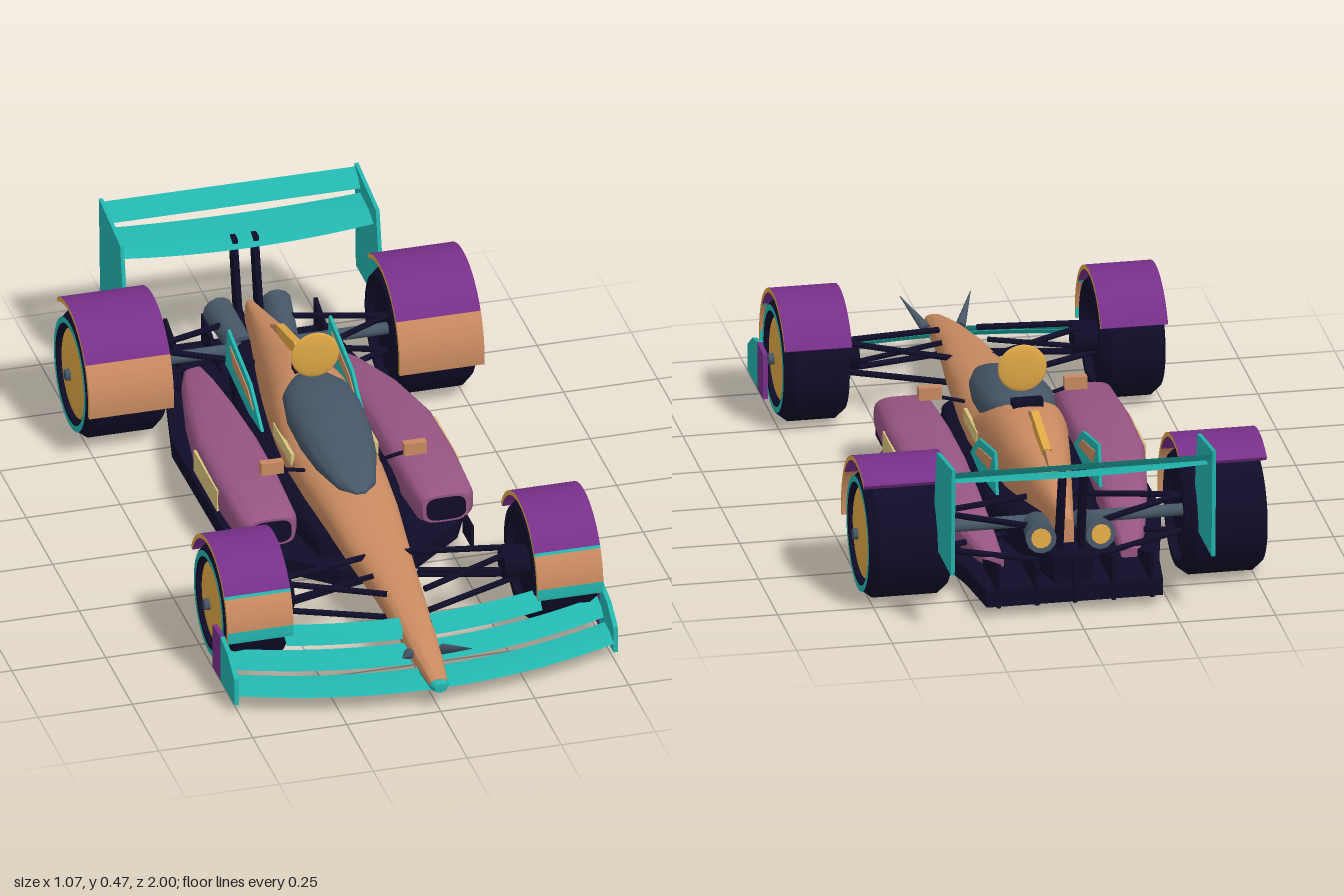
import * as THREE from 'three';
import { toCreasedNormals } from 'three/addons/utils/BufferGeometryUtils.js';

const mat = (name, color) => {
  const m = new THREE.MeshStandardMaterial({ color });
  m.name = name;
  return m;
};

// Closed skin through rings of [x, y, z] points, capped at both ends
function skin(rings, crease = 0.7) {
  const n = rings[0].length, pos = [], idx = [];
  rings.forEach(r => r.forEach(p => pos.push(...p)));
  for (let i = 0; i < rings.length - 1; i++) for (let j = 0; j < n; j++) {
    const a = i * n + j, b = i * n + (j + 1) % n;
    idx.push(a, a + n, b, b, a + n, b + n);
  }
  [0, rings.length - 1].forEach((i, end) => {
    const c = pos.length / 3;
    pos.push(...[0, 1, 2].map(k => rings[i].reduce((s, p) => s + p[k], 0) / n));
    for (let j = 0; j < n; j++) {
      const a = i * n + j, b = i * n + (j + 1) % n;
      if (end) idx.push(c, b, a); else idx.push(c, a, b);
    }
  });
  const g = new THREE.BufferGeometry();
  g.setAttribute('position', new THREE.Float32BufferAttribute(pos, 3));
  g.setIndex(idx);
  return toCreasedNormals(g, crease);
}

// Superellipse loft, sections front to back: [z, halfWidth, yBottom, yTop, xCentre]
function loft(sections, power = 2.5, n = 32) {
  const f = v => Math.sign(v) * Math.abs(v) ** (2 / power);
  return skin(sections.map(([z, w, y0, y1, xc = 0]) => Array.from({ length: n }, (_, j) => {
    const a = j / n * Math.PI * 2;
    return [xc + w * f(Math.cos(a)), (y0 + y1) / 2 + (y1 - y0) / 2 * f(Math.sin(a)), z];
  })));
}

// Wing blade across x; at(x) gives [zLead, yLead, zTrail, yTrail]
function blade(x0, x1, at, t = 0.006, n = 16) {
  return skin(Array.from({ length: n + 1 }, (_, i) => {
    const x = x1 + (x0 - x1) * i / n, [zl, yl, zt, yt] = at(x);
    const zm = zl * 0.6 + zt * 0.4, ym = yl * 0.6 + yt * 0.4;
    return [[x, yt, zt], [x, ym + t, zm], [x, yl, zl], [x, ym - t, zm]];
  }), 0.5);
}

// Flat plate drawn in [z, y], thickness along x
function plate(pts, t) {
  const s = pts instanceof THREE.Shape ? pts : new THREE.Shape(pts.map(p => new THREE.Vector2(...p)));
  return new THREE.ExtrudeGeometry(s, { depth: t, bevelEnabled: false, curveSegments: 32 })
    .translate(0, 0, -t / 2).rotateY(-Math.PI / 2);
}

export function createModel() {
  const car = new THREE.Group();
  car.name = 'raceCar';
  const teal = mat('teal', 0x22b5ae), purple = mat('purple', 0x772f89), tan = mat('tan', 0xc98a60);
  const gold = mat('gold', 0xdfa845), navy = mat('navy', 0x0f0c28), slate = mat('slate', 0x465666);
  const mauve = mat('mauve', 0x965482), pale = mat('pale yellow', 0xd8c57c);

  const add = (name, geo, m, x = 0, y = 0, z = 0, parent = car) => {
    const mesh = new THREE.Mesh(geo, m);
    mesh.name = name;
    mesh.position.set(x, y, z);
    parent.add(mesh);
    return mesh;
  };
  const box = (name, w, h, d, m, x, y, z) => add(name, new THREE.BoxGeometry(w, h, d), m, x, y, z);
  const rod = (name, a, b, r, m, r2 = r) => {
    const A = new THREE.Vector3(...a), B = new THREE.Vector3(...b), d = B.clone().sub(A);
    const mesh = add(name, new THREE.CylinderGeometry(r2, r, d.length(), 12), m);
    mesh.position.copy(A).add(B).multiplyScalar(0.5);
    mesh.quaternion.setFromUnitVectors(new THREE.Vector3(0, 1, 0), d.normalize());
  };

  // Nose, cockpit tub and engine cover
  add('body', loft([
    [0.985, 0.024, 0.055, 0.088], [0.9, 0.034, 0.062, 0.112], [0.8, 0.044, 0.07, 0.137],
    [0.6, 0.06, 0.085, 0.178], [0.4, 0.083, 0.095, 0.196], [0.25, 0.098, 0.1, 0.228],
    [0.1, 0.11, 0.1, 0.238], [-0.05, 0.118, 0.1, 0.255], [-0.18, 0.114, 0.1, 0.315],
    [-0.25, 0.108, 0.1, 0.328], [-0.4, 0.085, 0.1, 0.3], [-0.6, 0.05, 0.11, 0.262],
    [-0.8, 0.014, 0.14, 0.225]]), tan);
  add('noseTip', loft([[1, 0.016, 0.056, 0.08], [0.985, 0.0245, 0.053, 0.086], [0.9, 0.03, 0.058, 0.075]]), teal);
  add('canopy', loft([
    [0.25, 0.012, 0.215, 0.236], [0.21, 0.05, 0.21, 0.258], [0.1, 0.083, 0.2, 0.3], [0, 0.097, 0.2, 0.325],
    [-0.1, 0.1, 0.21, 0.338], [-0.18, 0.088, 0.235, 0.338], [-0.23, 0.055, 0.26, 0.328], [-0.25, 0.02, 0.28, 0.315]
  ], 2.2), slate);
  box('cameraPod', 0.08, 0.022, 0.03, navy, 0, 0.33, -0.25);
  const disc = add('roundPanel', new THREE.SphereGeometry(0.064, 32, 20), gold, 0, 0.4, -0.185);
  disc.scale.z = 0.14;
  add('sharkFin', plate([[-0.26, 0.31], [-0.35, 0.345], [-0.52, 0.305], [-0.62, 0.25], [-0.3, 0.25]], 0.012), tan);
  add('sharkFinPanel', plate([[-0.335, 0.34], [-0.35, 0.347], [-0.52, 0.307], [-0.5, 0.285], [-0.38, 0.305]], 0.02), gold);

  // Floor, chassis and diffuser
  const half = [[0.085, 0.36], [0.27, 0.2], [0.315, 0.1], [0.32, -0.4], [0.25, -0.72], [0.23, -0.88]];
  const outline = [...half, ...half.map(([x, z]) => [-x, z]).reverse()].map(p => new THREE.Vector2(...p));
  add('floor', new THREE.ExtrudeGeometry(new THREE.Shape(outline), { depth: 0.045, bevelEnabled: false })
    .rotateX(Math.PI / 2), navy, 0, 0.075);
  add('chassis', loft([[0.28, 0.12, 0.05, 0.14], [0, 0.165, 0.05, 0.16], [-0.4, 0.15, 0.05, 0.16],
    [-0.65, 0.1, 0.05, 0.19], [-0.86, 0.05, 0.06, 0.15]], 4), navy);
  for (let i = -2; i <= 2; i++)
    add('diffuserFin', plate([[-0.7, 0.03], [-0.7, 0.09], [-0.89, 0.15], [-0.89, 0.03]], 0.01), navy, i * 0.1);

  // Front wing blades: offset from the swept leading edge and heights
  const sweep = x => 0.965 - 0.1 * (x / 0.5) ** 2;
  [[0, 0.048, -0.085, 0.066, 0.5], [-0.095, 0.074, -0.155, 0.104, 0.5], [-0.165, 0.11, -0.215, 0.145, 0.34]]
    .forEach(([o1, y1, o2, y2, w], i) => {
      const at = x => [sweep(x) + o1, y1, sweep(x) + o2, y2];
      if (i === 0) add('frontWingMain', blade(-w, w, at, 0.007, 32), teal);
      else [[0.04, w], [-w, -0.04]].forEach(([a, b]) => add('frontWingFlap', blade(a, b, at), teal));
    });

  // Rear wing
  add('rearWingMain', blade(-0.34, 0.34, x => {
    const dip = 0.02 * (1 - (x / 0.34) ** 2);
    return [-0.82, 0.385 - dip, -0.945, 0.408 - dip / 2];
  }, 0.008), teal);
  add('rearWingFlap', blade(-0.34, 0.34, () => [-0.945, 0.42, -0.998, 0.456], 0.007), teal);

  // Fender arc in [z, y] degrees, split in colour bands with gold edges
  const fender = (bands, r, width, x, y, z) => bands.forEach(([a0, a1, m]) => {
    const s = new THREE.Shape(), k = Math.PI / 180;
    s.absarc(0, 0, r, a0 * k, a1 * k, false);
    s.absarc(0, 0, r - 0.012, a1 * k, a0 * k, true);
    add('fender', toCreasedNormals(plate(s, width), 0.5), [gold, m], x, y, z);
  });

  // Wheel with outer face on +x, turned round for the right side
  const wheel = (name, r, w, rim, x, z, s) => {
    const g = new THREE.Group(), h = w / 2;
    g.name = name;
    g.position.set(s * x, r, z);
    if (s < 0) g.rotation.y = Math.PI;
    car.add(g);
    const prof = [[0, -h + 0.02], [rim, -h + 0.02], [rim + 0.005, -h], [r - 0.02, -h], [r, -h + 0.025], [r, h - 0.025],
      [r - 0.02, h], [rim + 0.005, h], [rim, h - 0.015], [0, h - 0.015]].map(p => new THREE.Vector2(...p));
    add('tyre', toCreasedNormals(new THREE.LatheGeometry(prof, 40).rotateZ(-Math.PI / 2), 0.5), navy, 0, 0, 0, g);
    add('tyreStripe', new THREE.RingGeometry(rim + 0.01, rim + 0.026, 40).rotateY(Math.PI / 2), teal, h + 0.002, 0, 0, g);
    const dish = add('wheelCover', new THREE.SphereGeometry(rim - 0.004, 32, 16), gold, h - 0.014, 0, 0, g);
    dish.scale.x = 0.14;
    add('hubNut', new THREE.CylinderGeometry(0.014, 0.016, 0.02, 12).rotateZ(-Math.PI / 2), slate, h + 0.005, 0, 0, g);
  };

  for (const s of [1, -1]) {
    wheel('frontWheel', 0.163, 0.17, 0.114, 0.412, 0.58, s);
    wheel('rearWheel', 0.167, 0.215, 0.124, 0.412, -0.65, s);
    fender([[-6, 4, teal], [4, 32, tan], [32, 34.5, teal], [34.5, 153, purple]], 0.183, 0.175, s * 0.412, 0.162, 0.58);
    fender([[-7, 35, tan], [35, 122, purple]], 0.2, 0.225, s * 0.413, 0.168, -0.65);

    // Sidepods with intake and painted panels
    add('sidepod', loft([
      [0.228, 0.062, 0.1, 0.178, s * 0.232], [0.2, 0.077, 0.09, 0.19, s * 0.235], [0, 0.085, 0.08, 0.197, s * 0.235],
      [-0.2, 0.084, 0.08, 0.195, s * 0.233], [-0.4, 0.066, 0.075, 0.175, s * 0.218],
      [-0.6, 0.043, 0.07, 0.135, s * 0.195], [-0.72, 0.022, 0.07, 0.1, s * 0.175]], 3.6), mauve);
    add('sidepodIntake', loft([[0.231, 0.052, 0.107, 0.171, s * 0.232], [0.226, 0.052, 0.107, 0.171, s * 0.232]], 3.6), navy);
    box('sidepodPanel', 0.009, 0.06, 0.22, pale, s * 0.3175, 0.136, -0.08);
    box('cockpitPanel', 0.009, 0.035, 0.17, pale, s * 0.112, 0.208, -0.085);
    box('bargeBoard', 0.008, 0.06, 0.08, navy, s * 0.285, 0.08, 0.25);

    // Engine cover side fins
    add('sideFin', plate([[-0.2, 0.185], [-0.31, 0.265], [-0.52, 0.31], [-0.54, 0.2], [-0.32, 0.175]], 0.008), teal, s * 0.135);
    add('sideFinPanel', plate([[-0.27, 0.212], [-0.32, 0.245], [-0.49, 0.28], [-0.46, 0.237]], 0.014), tan, s * 0.135);

    // Mirrors
    rod('mirrorStalk', [s * 0.1, 0.215, 0.07], [s * 0.18, 0.235, 0.075], 0.005, navy);
    box('mirror', 0.06, 0.034, 0.022, tan, s * 0.19, 0.243, 0.078);

    // Nose canards and wing end plates
    rod('noseCanard', [s * 0.045, 0.1, 0.86], [s * 0.092, 0.152, 0.965], 0.014, slate, 0.001);
    add('frontEndPlate', plate([[0.865, 0.022], [0.86, 0.095], [0.8, 0.135], [0.73, 0.15], [0.73, 0.022]], 0.012), teal, s * 0.504);
    add('frontEndPlateRear', plate([[0.73, 0.022], [0.73, 0.15], [0.655, 0.145], [0.655, 0.022]], 0.012), purple, s * 0.504);
    add('rearEndPlate', plate([[-0.745, 0.17], [-0.8, 0.435], [-1, 0.465], [-0.988, 0.17]], 0.01), teal, s * 0.34);
    add('rearWingPylon', plate([[-0.78, 0.14], [-0.84, 0.385], [-0.88, 0.385], [-0.83, 0.14]], 0.014), navy, s * 0.028);

    // Front suspension
    for (const [yi, yo] of [[0.172, 0.2], [0.105, 0.12]])
      for (const z of [0.47, 0.67]) rod('frontWishbone', [s * 0.05, yi, z], [s * 0.34, yo, 0.575], 0.008, navy);
    rod('frontPushRod', [s * 0.06, 0.175, 0.575], [s * 0.34, 0.13, 0.575], 0.007, navy);
    rod('frontAxle', [s * 0.28, 0.162, 0.58], [s * 0.35, 0.162, 0.58], 0.04, navy);

    // Rear suspension
    rod('rearAxle', [s * 0.05, 0.17, -0.655], [s * 0.33, 0.17, -0.655], 0.016, slate);
    for (const [yi, yo] of [[0.19, 0.21], [0.1, 0.11]])
      for (const z of [-0.54, -0.76]) rod('rearWishbone', [s * 0.06, yi, z], [s * 0.32, yo, -0.65], 0.008, navy);

    // Exhausts
    rod('exhaust', [s * 0.06, 0.165, -0.67], [s * 0.078, 0.19, -0.83], 0.034, slate, 0.04);
    rod('exhaustBore', [s * 0.075, 0.186, -0.8], [s * 0.0783, 0.1905, -0.833], 0.026, gold);
  }
  return car;
}
